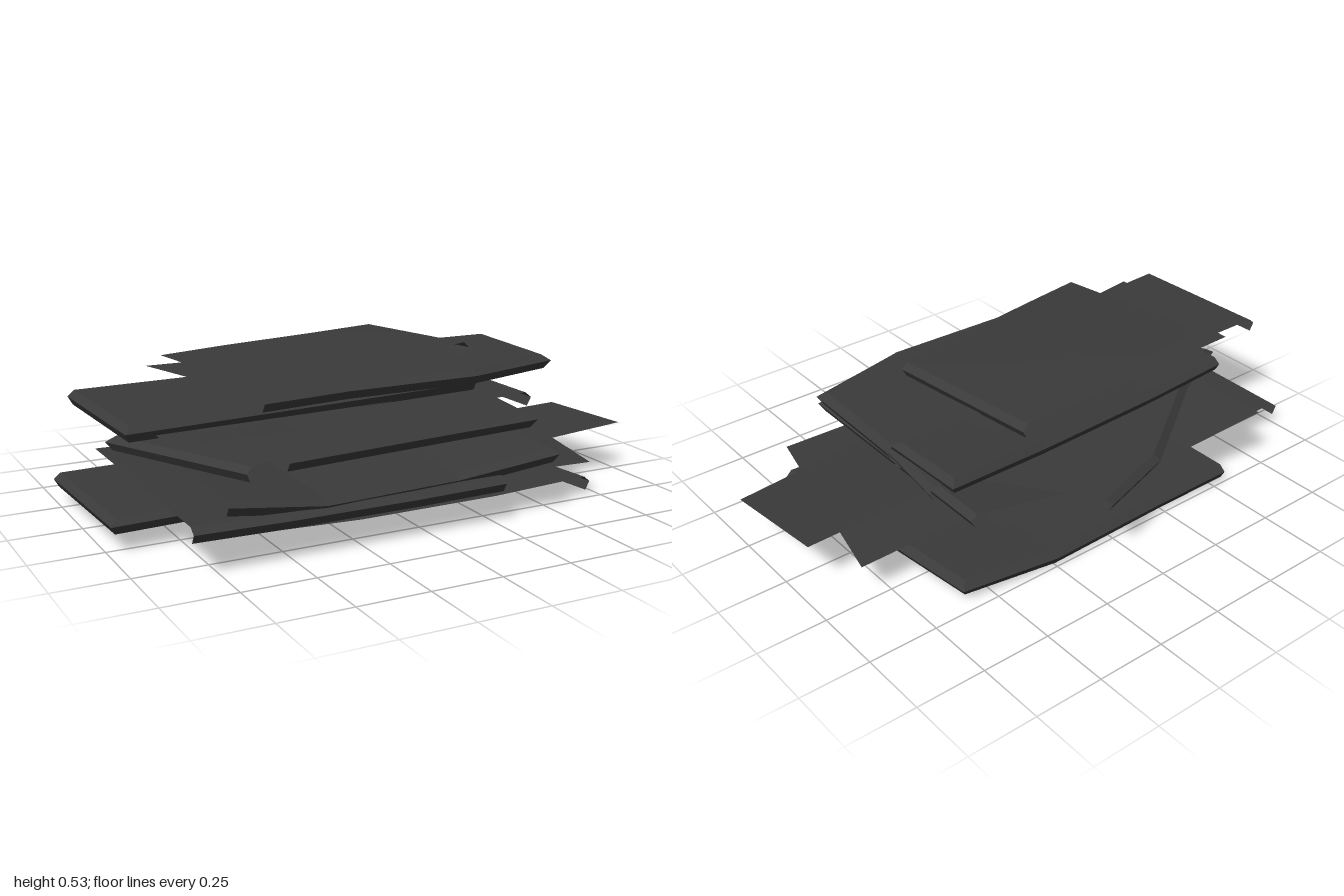
import * as THREE from 'three';

const material = new THREE.MeshStandardMaterial({ color: 0x3a3a3a, flatShading: true, side: THREE.DoubleSide });
const U = [0, 0.28, 0.7, 1];            // fold lines across a sheet
const V = [0, 0.5, 1];
const LIP = [[0.025, 0.02], [0.008, 0.05]]; // curled rim: outward, down

// A bent sheet. Corners [x, y, z] run back left, back right, front right, front left
// (left being -x here). lips: which of the edges b, r, f, l carry a curled rim.
function sheet(name, corners, { lips = '', sag = 0, bulge = [0, 0] } = {}) {
  const c = corners.map(p => new THREE.Vector3(...p));
  const outward = 'brfl'.split('').map((e, i) => {
    const d = c[(i + 1) % 4].clone().sub(c[i]).setY(0).normalize();
    return lips.includes(e) ? new THREE.Vector3(d.z, 0, -d.x) : new THREE.Vector3();
  });
  // Mitred outward direction at each corner; the panel is inset to leave room for the rim
  const out = c.map((_, i) => outward[i].clone().add(outward[(i + 3) % 4]));
  c.forEach((p, i) => p.addScaledVector(out[i], -LIP[0][0]));

  const point = (u, v) => {
    const back = c[0].clone().lerp(c[1], u), front = c[3].clone().lerp(c[2], u);
    if (u === 0.7) { back.z += bulge[0]; front.z += bulge[1]; }
    const p = back.lerp(front, v);
    if (u > 0 && u < 1) p.y += sag;
    return p;
  };
  const pos = [];
  const quad = (a, b, d, e) => [a, b, d, a, d, e].forEach(p => pos.push(p.x, p.y, p.z));

  // Main panel
  for (let i = 0; i < 3; i++) for (let j = 0; j < 2; j++)
    quad(point(U[i], V[j]), point(U[i], V[j + 1]), point(U[i + 1], V[j + 1]), point(U[i + 1], V[j]));

  // Curled rims
  const rev = a => [...a].reverse();
  const paths = {
    b: U.map(u => point(u, 0)), r: V.map(v => point(1, v)),
    f: rev(U).map(u => point(u, 1)), l: rev(V).map(v => point(0, v)),
  };
  'brfl'.split('').forEach((e, k) => {
    if (!lips.includes(e)) return;
    const path = paths[e], n = path.length - 1;
    const rows = [path, ...LIP.map(([o, d]) => path.map((p, i) => {
      const dir = i === 0 ? out[k] : i === n ? out[(k + 1) % 4] : outward[k];
      const q = p.clone().addScaledVector(dir, o);
      q.y -= d;
      return q;
    }))];
    for (let r = 0; r < 2; r++) for (let i = 0; i < n; i++)
      quad(rows[r][i], rows[r][i + 1], rows[r + 1][i + 1], rows[r + 1][i]);
  });

  const g = new THREE.BufferGeometry();
  g.setAttribute('position', new THREE.Float32BufferAttribute(pos, 3));
  g.computeVertexNormals();
  const mesh = new THREE.Mesh(g, material);
  mesh.name = name;
  return mesh;
}

export function createModel() {
  const pile = new THREE.Group();
  pile.name = 'sheetPile';
  pile.add(
    // Lowest layers
    sheet('baseSheet', [[-0.55, 0.065, -0.5], [0.61, 0.07, -0.46], [0.72, 0.07, 0.47], [-0.55, 0.065, 0.47]],
      { lips: 'br', sag: -0.014, bulge: [-0.03, 0] }),
    sheet('lowLeftSheet', [[-1, 0.1, -0.34], [0.27, 0.1, -0.34], [0.31, 0.125, 0.29], [-0.99, 0.115, 0.29]],
      { lips: 'lf', sag: 0.005 }),
    sheet('lowRightSheet', [[-0.4, 0.16, -0.25], [0.85, 0.135, -0.24], [0.68, 0.14, 0.52], [-0.6, 0.15, 0.47]]),
    sheet('lowFrontSheet', [[-0.84, 0.165, -0.36], [0.4, 0.165, -0.36], [0.27, 0.165, 0.61], [-0.84, 0.17, 0.62]],
      { lips: 'f', sag: -0.005 }),
    sheet('rightTongue', [[-0.1, 0.165, -0.05], [0.96, 0.185, -0.1], [1, 0.185, 0.27], [0, 0.165, 0.4]]),
    // Middle layers
    sheet('sunkenSheet', [[-0.72, 0.23, -0.49], [0.5, 0.24, -0.36], [0.49, 0.235, 0.6], [-0.72, 0.23, 0.6]],
      { lips: 'rf', sag: -0.045, bulge: [0, -0.03] }),
    sheet('skewedSheet', [[-0.88, 0.28, -0.1], [0.12, 0.28, -0.62], [0.55, 0.26, 0.02], [-0.6, 0.28, 0.46]],
      { lips: 'bl', sag: 0.012, bulge: [-0.07, 0] }),
    sheet('middleFrontSheet', [[-0.45, 0.31, -0.24], [0.58, 0.32, -0.24], [0.5, 0.32, 0.45], [-0.48, 0.315, 0.52]],
      { lips: 'rf' }),
    sheet('middleBackSheet', [[-0.74, 0.345, -0.26], [0.54, 0.365, -0.32], [0.56, 0.365, 0.32], [-0.7, 0.345, 0.34]],
      { lips: 'br', sag: -0.012 }),
    // Upper layers
    sheet('upperThinSheet', [[-0.83, 0.385, -0.2], [-0.02, 0.382, -0.21], [0.02, 0.382, 0.28], [-0.85, 0.388, 0.39]]),
    sheet('upperLeftSheet', [[-0.97, 0.425, -0.21], [0.33, 0.43, -0.21], [0.36, 0.43, 0.27], [-0.95, 0.425, 0.35]],
      { lips: 'lf' }),
    sheet('upperRightSheet', [[-0.68, 0.475, -0.24], [0.68, 0.48, -0.16], [0.67, 0.48, 0.28], [-0.5, 0.475, 0.38]],
      { lips: 'rf', bulge: [0, 0.055] }),
    sheet('topSheet', [[-0.62, 0.505, -0.25], [0.3, 0.515, -0.38], [0.39, 0.535, 0.17], [-0.52, 0.505, 0.34]],
      { lips: 'r', sag: 0.002, bulge: [0.01, 0] }),
  );
  return pile;
}
